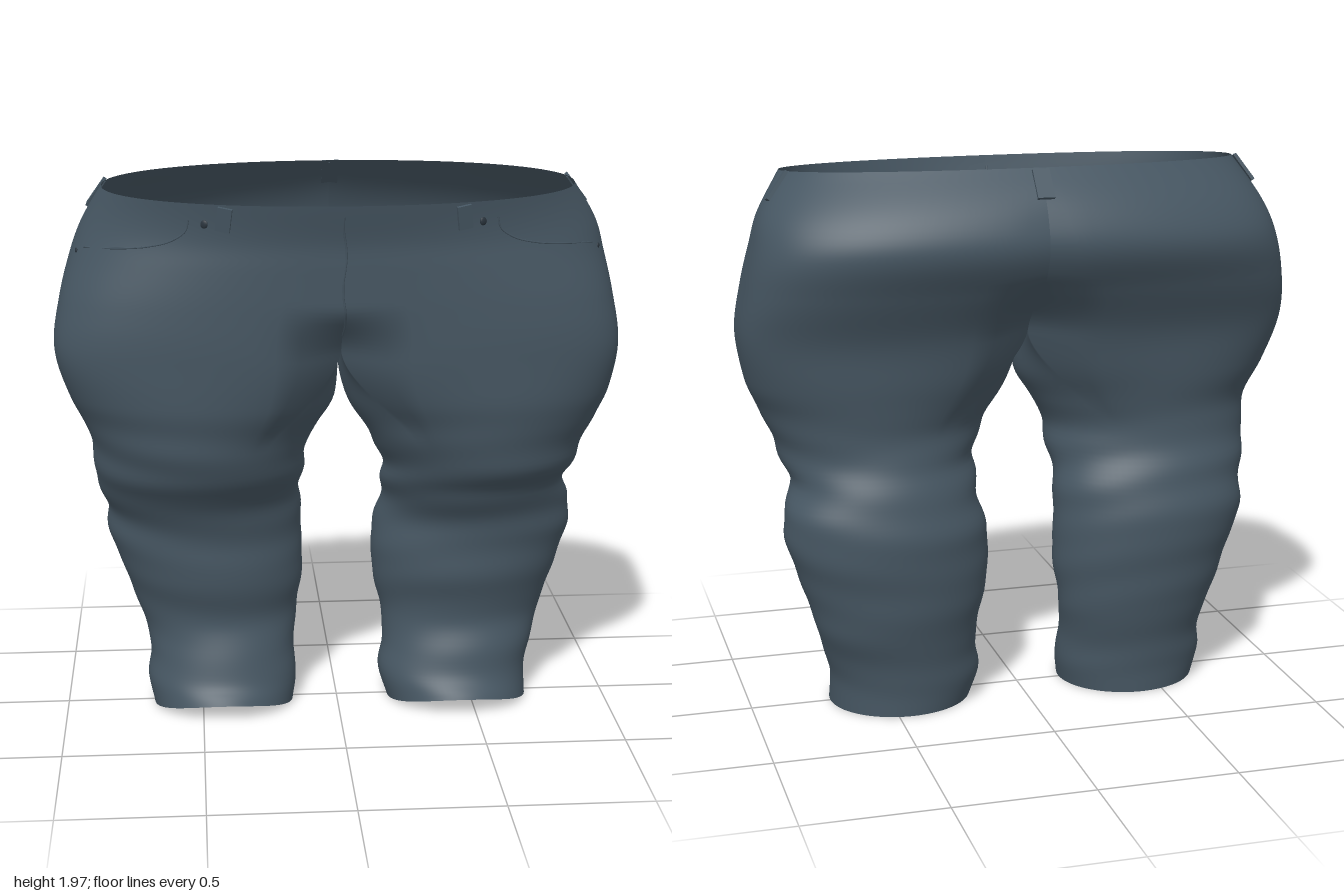
import * as THREE from 'three';

// Profiles: height against offset, bottom to top
const Y = [0, .1, .2, .33, .5, .65, .75, .85, .92, 1.0, 1.1, 1.2, 1.38, 1.55, 1.7, 1.8, 1.94];
const FRONT = [.24, .2, .17, .13, .165, .175, .195, .255, .305, .33, .355, .38, .395, .4, .405, .41, .44];
const BACK = [-.23, -.235, -.25, -.28, -.305, -.315, -.305, -.265, -.24, -.225, -.23, -.255, -.29, -.37, -.44, -.41, -.29];
const SIDES = {
  left: {
    sign: 1,
    outer: [.71, .71, .73, .77, .82, .87, .86, .84, .86, .88, .93, .97, 1, .98, .95, .92, .83],
    inner: [.19, .16, .175, .17, .135, .14, .16, .165, .17, .13, .09, .045, 0, 0, 0, 0, 0],
  },
  right: {
    sign: -1,
    outer: [.68, .7, .69, .72, .78, .83, .84, .86, .87, .88, .9, .95, 1, .98, .94, .9, .82],
    inner: [.165, .15, .16, .145, .125, .125, .135, .13, .12, .12, .07, .02, 0, 0, 0, 0, 0],
  },
};
const TOP = 1.94, CROTCH = 1.39;
const OUT = 60, RING = 88, LOW = 70, HIGH = 30;
const { lerp, smoothstep } = THREE.MathUtils;

// Smooth interpolation through a profile
function sample(values, y) {
  let i = 0;
  while (i < Y.length - 2 && y > Y[i + 1]) i++;
  const slope = k => {
    const a = Math.max(k - 1, 0), b = Math.min(k + 1, Y.length - 1);
    return (values[b] - values[a]) / (Y[b] - Y[a]);
  };
  const h = Y[i + 1] - Y[i], t = (y - Y[i]) / h, t2 = t * t, t3 = t2 * t;
  return (2 * t3 - 3 * t2 + 1) * values[i] + (t3 - 2 * t2 + t) * h * slope(i)
    + (3 * t2 - 2 * t3) * values[i + 1] + (t3 - t2) * h * slope(i + 1);
}

const power = (v, n) => Math.sign(v) * Math.pow(Math.abs(v), 2 / n);

// Point on the cloth: j runs front centre, outside, back centre, inner thigh
function cloth(side, j, y, lift = 0) {
  const s = side.sign;
  const front = sample(FRONT, y), back = sample(BACK, y);
  const outer = sample(side.outer, y), inner = Math.max(0, sample(side.inner, y));
  const cz = (front + back) / 2, rz = (front - back) / 2;
  const cx = (outer + inner) / 2, rx = (outer - inner) / 2;
  const merge = smoothstep(y, 1.02, CROTCH);
  const spread = Math.PI * .68;
  const n = lerp(3.1, 2.15, smoothstep(y, 1.45, 1.94));
  // Crease where the thighs and buttocks meet, deepest at the crotch
  const frontDent = .16 * (1 - smoothstep(y, 1.36, 1.57));
  const backDent = .14 * (1 - smoothstep(y, 1.38, 1.62))
    + .015 * smoothstep(y, 1.4, 1.6) * (1 - smoothstep(y, 1.75, 1.9));

  // Round leg section and half-hip section, blended by height
  let angle, hx, hz;
  if (j <= OUT) {
    const e = 1 - 2 * j / OUT;
    angle = spread * e;
    hx = outer * power(Math.max(0, Math.cos(e * Math.PI / 2)), n);
    hz = cz + rz * power(Math.sin(e * Math.PI / 2), n);
    hz -= e > 0 ? frontDent * Math.exp(-hx / .07) : -backDent * Math.exp(-hx / .09);
  } else {
    const f = (j - OUT) / (RING - OUT);
    angle = -spread - f * (2 * Math.PI - 2 * spread);
    hx = 0;
    hz = lerp(back + backDent, front - frontDent, f);
  }
  // Cloth folds, strongest at the knee
  const amount = (1 - merge) * smoothstep(y, .02, .15) * (.006 + .01 * Math.exp(-(((y - .85) / .18) ** 2)));
  const fold = Math.sin(y * 25 + 2.4 * Math.sin(angle + s)) + .7 * Math.sin(y * 43 - 3 * Math.cos(angle - s) + s);
  const k = 1 + amount * fold;
  const lx = cx + rx * k * power(Math.cos(angle), 2);
  const lz = cz + rz * k * power(Math.sin(angle), 2);
  let x = lerp(lx, hx, merge), z = lerp(lz, hz, merge);

  // Lifted front hem and sloping waist
  let py = y + .06 * Math.max(0, z / .24) ** 2 * (1 - smoothstep(y, 0, .16));
  py += (.03 - .05 * (z + .28) / .72) * smoothstep(y, 1.65, TOP);
  const len = Math.hypot(x / outer, (z - cz) / rz) || 1;
  x += lift * x / outer / len;
  z += lift * (z - cz) / rz / len;
  return new THREE.Vector3(s * Math.max(0, x), py, z);
}

// One trouser leg with its half of the hips
function legGeometry(side) {
  const pos = [], idx = [];
  for (let i = 0; i <= LOW + HIGH; i++) {
    const y = i <= LOW ? CROTCH * i / LOW : lerp(CROTCH, TOP, (i - LOW) / HIGH);
    for (let j = 0; j < RING; j++) pos.push(...cloth(side, j, y).toArray());
  }
  for (let i = 0; i < LOW + HIGH; i++) {
    for (let j = 0; j < (i < LOW ? RING : OUT); j++) {
      const k = (j + 1) % RING;
      const a = i * RING + j, b = i * RING + k, c = a + RING, d = b + RING;
      if (side.sign > 0) idx.push(a, b, d, a, d, c);
      else idx.push(a, d, b, a, c, d);
    }
  }
  const g = new THREE.BufferGeometry();
  g.setAttribute('position', new THREE.Float32BufferAttribute(pos, 3));
  g.setIndex(idx);
  g.computeVertexNormals();
  return g;
}

// Ring position between front and back centre where a test first fails
function ringIndex(side, y, before, end) {
  let a = 0, b = end;
  for (let i = 0; i < 24; i++) {
    const m = (a + b) / 2;
    if (before(cloth(side, m, y))) a = m; else b = m;
  }
  return a;
}
const atX = (side, x, y) => ringIndex(side, y, p => Math.abs(p.x) < x, OUT / 2);
const atZ = (side, z, y) => ringIndex(side, y, p => p.z > z, OUT);

export function createModel() {
  const model = new THREE.Group();
  model.name = 'trousers';
  const denim = new THREE.MeshStandardMaterial({ color: 0x465662, side: THREE.DoubleSide });
  denim.name = 'slate denim';
  const metal = new THREE.MeshStandardMaterial({ color: 0x2b353e });
  metal.name = 'dark rivet';
  const add = (name, geometry, material = denim) => {
    const mesh = new THREE.Mesh(geometry, material);
    mesh.name = name;
    model.add(mesh);
    return mesh;
  };
  const seam = (name, points, r) =>
    add(name, new THREE.TubeGeometry(new THREE.CatmullRomCurve3(points), 40, r, 5));

  // Belt loop: a narrow strap between two points just off the cloth
  const beltLoop = (name, a, b, outward, width) => {
    const up = b.clone().sub(a), length = up.length();
    up.normalize();
    const across = up.clone().cross(outward).normalize();
    const out = across.clone().cross(up);
    const mesh = add(name, new THREE.BoxGeometry(width, length, .012));
    mesh.position.copy(a).add(b).multiplyScalar(.5);
    mesh.quaternion.setFromRotationMatrix(new THREE.Matrix4().makeBasis(across, up, out));
  };

  for (const [label, side] of Object.entries(SIDES)) {
    add(label + 'Leg', legGeometry(side));

    // Curved front pocket opening
    const path = [[.52, 1.88], [.53, 1.84], [.58, 1.8], [.66, 1.775], [.76, 1.76], [.88, 1.745]];
    seam(label + 'PocketEdge', path.map(([x, y]) => cloth(side, atX(side, x, y), y, .003)), .003);

    // Pocket rivets
    for (const [x, y, r] of [[.47, 1.868, .015], [.91, 1.725, .01]]) {
      const j = atX(side, x, y);
      const at = cloth(side, j, y), out = cloth(side, j, y, .01).sub(at).normalize();
      const rivet = add(label + 'PocketRivet', new THREE.SphereGeometry(r, 12, 8), metal);
      rivet.scale.z = .4;
      rivet.position.copy(at);
      rivet.quaternion.setFromUnitVectors(new THREE.Vector3(0, 0, 1), out);
    }

    const onFront = (x, y) => cloth(side, atX(side, x, y), y, .009);
    beltLoop(label + 'FrontBeltLoop', onFront(.405, 1.845), onFront(.395, 1.93), new THREE.Vector3(.25 * side.sign, 0, 1), .05);
    const onSide = (z, y) => cloth(side, atZ(side, z, y), y, .008);
    beltLoop(label + 'SideBeltLoop', onSide(-.04, 1.85), onSide(-.01, 1.94), new THREE.Vector3(side.sign, 0, -.1), .035);
  }
  const onBack = y => cloth(SIDES.left, OUT, y, .008);
  beltLoop('backBeltLoop', onBack(1.85), onBack(1.935), new THREE.Vector3(0, 0, -1), .06);

  // Fly seam down the front
  const fly = [...Array(10)].map((_, i) => cloth(SIDES.left, 0, lerp(1.45, 1.9, i / 9)));
  fly.forEach((p, i) => { p.x = .006 * Math.sin(i * 1.3); });
  seam('flySeam', fly, .004);
  return model;
}
